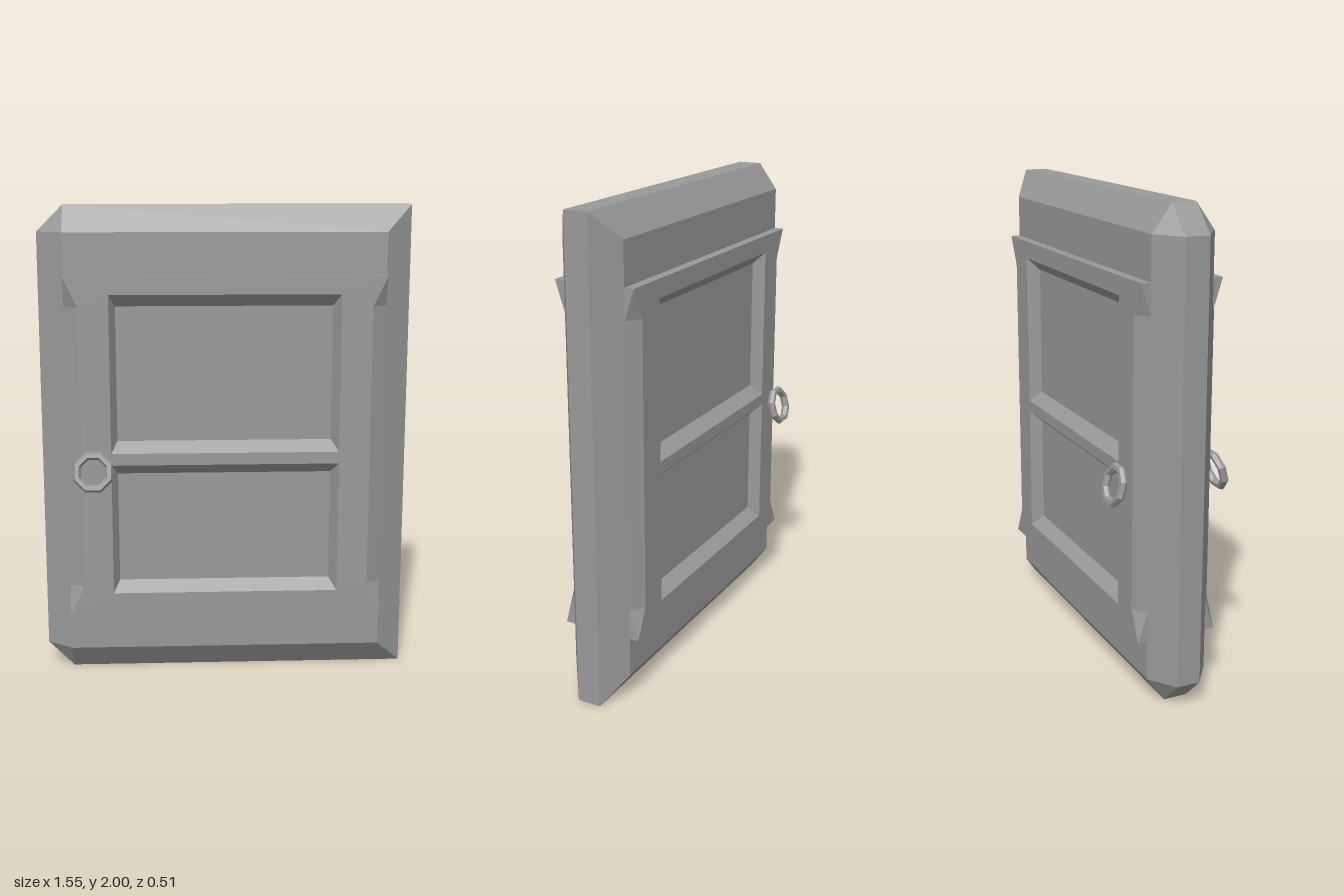
import * as THREE from 'three';

const EDGE_Z = 0.05, SLAB_Z = 0.13, PANEL_Z = 0.17, FLOOR_Z = 0.12;
const OUT = 0.775, IN = 0.665;

// Collects flat polygons (counter-clockwise from outside) into one faceted geometry.
class Faces {
  constructor() { this.p = []; }
  add(pts, flip = false) {
    const q = flip ? [...pts].reverse() : pts;
    for (let i = 1; i < q.length - 1; i++) this.p.push(...q[0], ...q[i], ...q[i + 1]);
  }
  mesh(name, material) {
    const g = new THREE.BufferGeometry();
    g.setAttribute('position', new THREE.Float32BufferAttribute(this.p, 3));
    g.computeVertexNormals();
    const m = new THREE.Mesh(g, material);
    m.name = name;
    return m;
  }
}

const rect = (x0, x1, y0, y1) => [[x0, y0], [x1, y0], [x1, y1], [x0, y1]];

// The two sunken fields: opening and floor rectangles
const fields = [
  { open: rect(-0.48, 0.475, 0.98, 1.64), floor: rect(-0.455, 0.445, 1.025, 1.59) },
  { open: rect(-0.48, 0.475, 0.37, 0.93), floor: rect(-0.455, 0.445, 0.415, 0.885) },
];

export function createModel() {
  const group = new THREE.Group();
  const grey = new THREE.MeshStandardMaterial({ color: 0x999999 });
  grey.name = 'grey';
  grey.flatShading = true;

  // Rim around the slab, with two clipped corners on one side
  const rim = new Faces();
  const outline = [[-IN, 0], [OUT, 0], [OUT, 2], [-IN, 2], [-OUT, 1.89], [-OUT, 0.11]];
  outline.forEach((a, i) => {
    const b = outline[(i + 1) % outline.length];
    rim.add([[...a, EDGE_Z], [...a, -EDGE_Z], [...b, -EDGE_Z], [...b, EDGE_Z]]);
  });
  group.add(rim.mesh('doorRim', grey));

  for (const s of [1, -1]) {
    const side = s > 0 ? 'front' : 'back';
    const face = (faces, pts, flip = false) =>
      faces.add(pts.map(([x, y, z]) => [x, y, z * s]), flip !== (s < 0));

    // Sloped border and the flat bands above and below the panel
    const slab = new Faces();
    const [c0, c1, c2, c3] = rect(-IN, IN, 0.11, 1.89).map(c => [...c, SLAB_Z]);
    const o = outline.map(c => [...c, EDGE_Z]);
    face(slab, [o[0], o[1], c1, c0]);
    face(slab, [o[1], o[2], c2, c1]);
    face(slab, [c2, o[2], o[3], c3]);
    face(slab, [o[4], o[5], c0, c3]);
    face(slab, [c3, o[3], o[4]]);
    face(slab, [c0, o[5], o[0]]);
    for (const [y0, y1] of [[0.11, 0.275], [1.715, 1.89]])
      face(slab, rect(-IN, IN, y0, y1).map(c => [...c, SLAB_Z]));
    group.add(slab.mesh(side + 'Slab', grey));

    // Raised panel face with two openings
    const panel = new Faces();
    const mid = 0.995, hy = 0.72, hn = 0.595, xn = 0.605;
    const shape = new THREE.Shape([
      [-IN, -hy], [IN, -hy], [xn, -hn], [xn, hn], [IN, hy], [-IN, hy], [-xn, hn], [-xn, -hn],
    ].map(([x, y]) => new THREE.Vector2(x, mid + y)));
    for (const f of fields)
      shape.holes.push(new THREE.Path(f.open.map(([x, y]) => new THREE.Vector2(x, y))));
    const flat = new THREE.ShapeGeometry(shape).toNonIndexed().attributes.position;
    for (let i = 0; i < flat.count; i += 3)
      face(panel, [0, 1, 2].map(k => [flat.getX(i + k), flat.getY(i + k), PANEL_Z]));

    // Panel edges: ledges, side slopes and flared corners
    for (const v of [1, -1]) {
      const y = mid + v * hy;
      face(panel, [[-IN, y, PANEL_Z], [IN, y, PANEL_Z], [IN, y, SLAB_Z], [-IN, y, SLAB_Z]], v < 0);
      face(panel, [[v * xn, mid - hn, PANEL_Z], [v * IN, mid - hn, SLAB_Z],
        [v * IN, mid + hn, SLAB_Z], [v * xn, mid + hn, PANEL_Z]], v < 0);
      for (const h of [1, -1]) {
        const tip = [h * IN, y, PANEL_Z], low = [h * IN, mid + v * hn, SLAB_Z];
        face(panel, [[h * xn, mid + v * hn, PANEL_Z], low, tip], h * v < 0);
        face(panel, [tip, low, [h * IN, y, SLAB_Z]], h * v < 0);
      }
    }
    group.add(panel.mesh(side + 'Panel', grey));

    // Sunken fields with sloped sides
    const sunken = new Faces();
    for (const { open, floor } of fields) {
      const a = open.map(c => [...c, PANEL_Z]), b = floor.map(c => [...c, FLOOR_Z]);
      face(sunken, b);
      for (let i = 0; i < 4; i++) {
        const j = (i + 1) % 4;
        face(sunken, [a[i], a[j], b[j], b[i]]);
      }
    }
    group.add(sunken.mesh(side + 'SunkenFields', grey));

    // Eight-sided ring handle, lower edge tilted outwards
    const ringGeometry = new THREE.TorusGeometry(0.072, 0.017, 6, 8);
    ringGeometry.rotateZ(Math.PI / 8);
    const ring = new THREE.Mesh(ringGeometry, grey);
    ring.name = side + 'RingHandle';
    ring.position.set(-0.553, 0.915, 0.222 * s);
    ring.rotation.x = -0.26 * s;
    group.add(ring);
  }
  return group;
}
